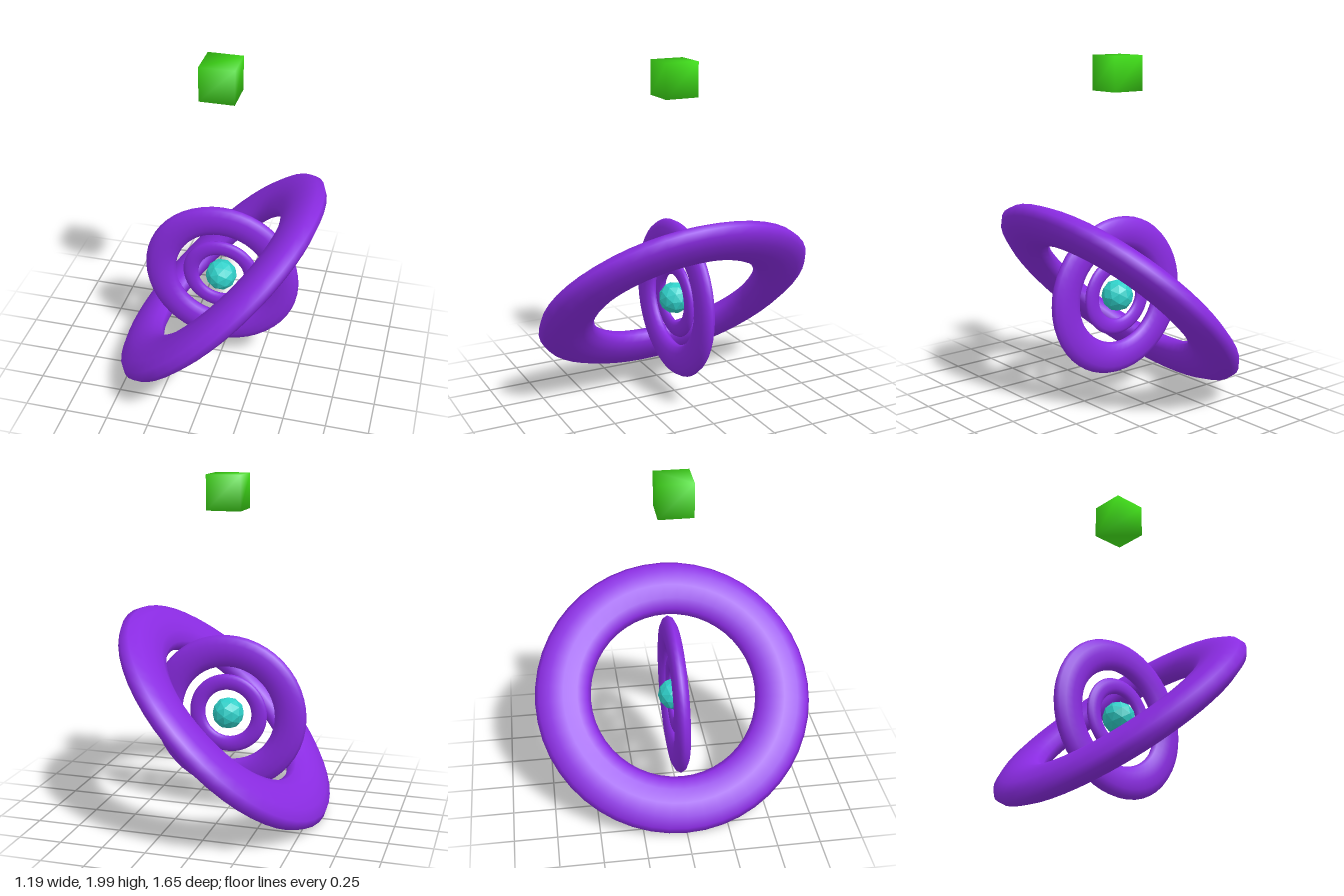
import * as THREE from 'three';
import { mergeVertices } from 'three/addons/utils/BufferGeometryUtils.js';

const UNIT = 0.1886; // radius of the smallest ring
const CENTRE_Y = 0.604;

export function createModel() {
  const model = new THREE.Group();
  const violet = new THREE.MeshStandardMaterial({ color: 0x8a2be2 });
  const turquoise = new THREE.MeshStandardMaterial({ color: 0x2fcfc8, flatShading: true });
  const green = new THREE.MeshStandardMaterial({ color: 0x3fdc18 });

  const add = (name, geometry, material, y) => {
    const mesh = new THREE.Mesh(geometry, material);
    mesh.name = name;
    mesh.position.y = y;
    model.add(mesh);
    return mesh;
  };

  // Rings with proportional tubes, flattened to half thickness along their axis
  const addRing = (name, size) => {
    const radius = UNIT * size;
    const ring = add(name, new THREE.TorusGeometry(radius, radius / 4, 12, 48), violet, CENTRE_Y);
    ring.scale.z = 0.5;
    return ring;
  };
  addRing('innerRing', 1);
  addRing('middleRing', 2).rotation.x = -0.012;
  // Outer ring leans 45 degrees sideways, lengthwise from front to back
  addRing('outerRing', 3.5).rotation.set(0, Math.PI / 2, -Math.PI / 4, 'ZYX');

  // Faceted ball in the middle of the rings
  add('coreBall', new THREE.IcosahedronGeometry(UNIT / 2, 1), turquoise, CENTRE_Y);

  // Floating cube with normals shared across its corners
  const box = new THREE.BoxGeometry(0.2, 0.2, 0.2);
  box.deleteAttribute('normal');
  box.deleteAttribute('uv');
  const cube = mergeVertices(box);
  cube.computeVertexNormals();
  add('floatingCube', cube, green, 1.9);

  return model;
}
